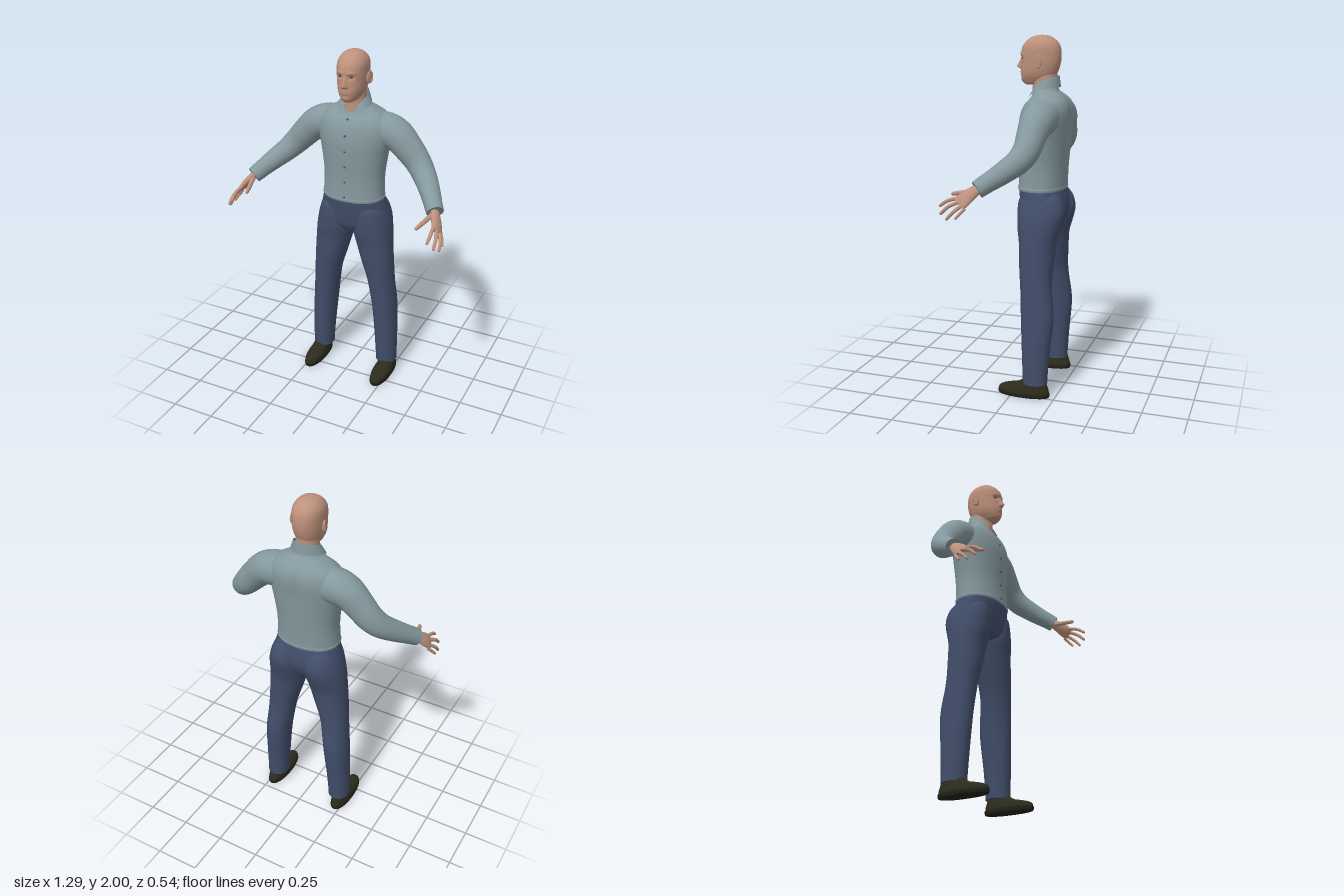
import * as THREE from 'three';

const V = (x, y, z) => new THREE.Vector3(x, y, z);
const mat = (name, color, side = THREE.FrontSide) => {
  const m = new THREE.MeshStandardMaterial({ color, side });
  m.name = name;
  return m;
};
const bump = (d, s) => Math.exp(-(d * d) / (s * s));

// smooth in-between sections, Catmull-Rom on every number
function refine(secs, steps) {
  const out = [], at = i => secs[Math.max(0, Math.min(secs.length - 1, i))];
  for (let i = 0; i < secs.length - 1; i++)
    for (let k = 0; k < steps; k++) {
      const t = k / steps;
      out.push(at(i).map((b, n) => {
        const a = at(i - 1)[n], c = at(i + 1)[n], d = at(i + 2)[n];
        return b + 0.5 * t * (c - a + t * (2 * a - 5 * b + 4 * c - d + t * (3 * (b - c) + d - a)));
      }));
    }
  out.push(secs[secs.length - 1]);
  return out;
}

// skin over rings of points; closed rings also get end caps
function surface(rings, closed = true) {
  const pos = [], idx = [], n = rings[0].length, m = rings.length;
  rings.forEach(r => r.forEach(p => pos.push(p.x, p.y, p.z)));
  for (let i = 0; i < m - 1; i++)
    for (let j = 0; j < (closed ? n : n - 1); j++) {
      const k = (j + 1) % n, a = i * n + j, b = i * n + k;
      idx.push(a, b, b + n, a, b + n, a + n);
    }
  if (closed) [0, m - 1].forEach(e => {
    const base = pos.length / 3, c = V(0, 0, 0);
    rings[e].forEach(p => { pos.push(p.x, p.y, p.z); c.addScaledVector(p, 1 / n); });
    pos.push(c.x, c.y, c.z);
    for (let j = 0; j < n; j++) {
      const a = base + j, b = base + (j + 1) % n;
      if (e) idx.push(a, b, base + n); else idx.push(b, a, base + n);
    }
  });
  const g = new THREE.BufferGeometry();
  g.setAttribute('position', new THREE.Float32BufferAttribute(pos, 3));
  g.setIndex(idx);
  g.computeVertexNormals();
  return g;
}

// level sections, bottom up: [y, centre x, half width, front z, back z]
function loft(secs, { power = 2, steps = 4, seg = 40, shape } = {}) {
  const pw = v => Math.sign(v) * Math.abs(v) ** (2 / power);
  return surface(refine(secs, steps).map(([y, cx, hw, zf, zb]) =>
    Array.from({ length: seg }, (_, j) => {
      const a = j / seg * Math.PI * 2;
      const p = V(cx + hw * pw(Math.sin(a)), y, (zf + zb) / 2 + (zf - zb) / 2 * pw(Math.cos(a)));
      if (shape) shape(p);
      return p;
    })));
}

// sections across a path: [x, y, z, width radius, thickness radius]
function limb(secs, ref, { steps = 4, seg = 24 } = {}) {
  const s = refine(secs, steps), c = s.map(q => V(q[0], q[1], q[2]));
  return surface(s.map((q, i) => {
    const t = c[Math.min(i + 1, c.length - 1)].clone().sub(c[Math.max(i - 1, 0)]).normalize();
    const u = ref.clone().addScaledVector(t, -ref.dot(t)).normalize(), v = t.clone().cross(u);
    return Array.from({ length: seg }, (_, j) => {
      const a = j / seg * Math.PI * 2;
      return c[i].clone().addScaledVector(v, q[3] * Math.sin(a)).addScaledVector(u, q[4] * Math.cos(a));
    });
  }));
}

export function createModel() {
  const root = new THREE.Group();
  root.name = 'standingMan';
  const skin = mat('skin', 0xbd917c), shirt = mat('shirt', 0x84989d, THREE.DoubleSide);
  const denim = mat('trousers', 0x414d69), leather = mat('shoeLeather', 0x2c2c1d);
  const sole = mat('shoeSole', 0x212117), dark = mat('button', 0x4a5559), iris = mat('eye', 0x4a362c);
  const add = (name, geo, m) => {
    const o = new THREE.Mesh(geo, m);
    o.name = name;
    root.add(o);
    return o;
  };

  // head with sculpted face
  add('head', loft([
    [1.733, 0, .022, -.012, -.10], [1.74, 0, .04, .002, -.13], [1.755, 0, .051, .012, -.155],
    [1.78, 0, .065, .017, -.175], [1.81, 0, .074, .018, -.19], [1.85, 0, .079, .016, -.202],
    [1.89, 0, .081, .018, -.206], [1.93, 0, .081, .012, -.202], [1.96, 0, .073, -.006, -.188],
    [1.985, 0, .053, -.035, -.16], [1.996, 0, .03, -.065, -.135], [2, 0, .004, -.095, -.105],
  ], {
    power: 2.2, steps: 8, seg: 96, shape: p => {
      if (p.z < -.06) return;
      const { x, y } = p, ax = Math.abs(x);
      const ridge = y > 1.83 ? Math.max(0, 1 - (y - 1.83) / .055) : bump(y - 1.83, .009);
      p.z += .03 * bump(x, .011) * ridge + .008 * bump(ax - .013, .007) * bump(y - 1.826, .008)
        - .011 * bump(ax - .032, .016) * bump(y - 1.876, .012) + .005 * bump(ax - .03, .025) * bump(y - 1.898, .009)
        + .008 * bump(x, .022) * bump(y - 1.797, .012) - .007 * bump(x, .022) * bump(y - 1.797, .003)
        + .004 * bump(x, .02) * bump(y - 1.757, .012);
    },
  }), skin);
  add('neck', loft([[1.6, 0, .068, -.045, -.19], [1.7, 0, .063, -.047, -.186],
    [1.76, 0, .061, -.05, -.184], [1.83, 0, .06, -.05, -.185]]), skin);

  // shirt body, with a spine furrow and lowered front neckline
  add('shirtBody', loft([
    [1.162, 0, .181, .021, -.241], [1.175, 0, .183, .023, -.243], [1.19, 0, .179, .02, -.241],
    [1.3, 0, .177, .015, -.246], [1.42, 0, .192, .018, -.257], [1.5, 0, .207, .018, -.264],
    [1.56, 0, .213, .01, -.27], [1.61, 0, .205, -.005, -.267], [1.65, 0, .175, -.028, -.252],
    [1.68, 0, .125, -.043, -.225], [1.7, 0, .085, -.05, -.2], [1.72, 0, .068, -.052, -.188],
  ], {
    power: 2.2, steps: 5, seg: 64, shape: p => {
      if (p.z < -.15) p.z += .012 * bump(p.x, .03) * bump(p.y - 1.52, .16);
      p.y -= Math.max(0, p.z + .1) * .4 * THREE.MathUtils.clamp((p.y - 1.64) / .05, 0, 1);
    },
  }), shirt);

  // folded collar, open at the front with two points
  const collar = [0, 1, 2].map(r => Array.from({ length: 41 }, (_, j) => {
    const k = j / 20 - 1, a = Math.abs(k), f = k * 2.64, t = r / 2;
    const low = 1.722 - .03 * a * a - .042 * a ** 6, high = 1.785 - .078 * a * a;
    const rx = .088 + .024 * a ** 3 + (.072 - .088 - .024 * a ** 3) * t;
    const rz = .082 + .022 * a ** 3 + (.074 - .082 - .022 * a ** 3) * t;
    return V(-Math.sin(f) * rx, low + (high - low) * t, -.122 - Math.cos(f) * rz);
  }));
  add('collar', surface(collar, false), shirt);

  // shirt buttons
  [[1.635, -.02], [1.55, .012], [1.46, .018], [1.37, .017], [1.28, .016], [1.19, .02]].forEach(([y, z]) => {
    const b = add('button', new THREE.CylinderGeometry(.006, .006, .008, 12), dark);
    b.rotation.x = Math.PI / 2;
    b.position.set(0, y, z);
  });

  // trouser seat
  add('trouserSeat', loft([
    [.95, 0, .03, -.07, -.17], [.965, 0, .1, -.03, -.215], [1, 0, .19, -.008, -.24],
    [1.05, 0, .209, .002, -.254], [1.1, 0, .197, .009, -.252], [1.165, 0, .178, .017, -.237],
    [1.2, 0, .165, .005, -.225],
  ], { power: 2.2, seg: 56 }), denim);

  // mirrored parts
  for (const s of [1, -1]) {
    const side = s > 0 ? 'left' : 'right';
    const flip = secs => secs.map(([x, ...r]) => [x * s, ...r]);

    const eye = add(side + 'Eye', new THREE.SphereGeometry(1, 16, 10), iris);
    eye.scale.set(.011, .0045, .005);
    eye.position.set(.032 * s, 1.876, .001);

    const ear = add(side + 'Ear', new THREE.SphereGeometry(1, 20, 14), skin);
    ear.scale.set(.009, .034, .02);
    ear.position.set(.086 * s, 1.858, -.104);
    ear.rotation.set(-.15, -.4 * s, -.12 * s);
    const rim = add(side + 'EarRim', new THREE.TorusGeometry(.02, .005, 8, 24), skin);
    rim.scale.set(.85, 1.4, 1);
    rim.position.set(.091 * s, 1.86, -.105);
    rim.rotation.set(0, Math.PI / 2 - .35 * s, 0);

    // sleeve and cuff
    add(side + 'Sleeve', limb(flip([
      [.06, 1.56, -.145, .09, .09], [.17, 1.565, -.147, .096, .097], [.245, 1.543, -.143, .091, .09],
      [.31, 1.485, -.137, .079, .082], [.37, 1.42, -.13, .071, .074], [.42, 1.368, -.1, .066, .066],
      [.475, 1.318, -.04, .058, .058], [.52, 1.275, .02, .051, .051], [.552, 1.243, .065, .046, .046],
    ]), V(0, 1, 0), { seg: 36, steps: 5 }), shirt);
    add(side + 'Cuff', limb(flip([[.53, 1.265, .035, .05, .05], [.556, 1.239, .07, .047, .047]]),
      V(0, 1, 0), { seg: 36 }), shirt);

    // hand
    const back = V(.85 * s, .52, 0);
    add(side + 'Palm', limb(flip([
      [.525, 1.27, .03, .028, .022], [.557, 1.238, .075, .029, .021], [.58, 1.207, .112, .038, .02],
      [.597, 1.18, .14, .041, .015], [.604, 1.168, .153, .036, .009],
    ]), back), skin);
    [
      ['Thumb', [.55, 1.232, .085], [.532, 1.217, .15], [.51, 1.2, .228], .014],
      ['IndexFinger', [.582, 1.197, .155], [.59, 1.182, .215], [.588, 1.148, .266], .0105],
      ['MiddleFinger', [.597, 1.182, .15], [.615, 1.155, .205], [.619, 1.113, .25], .0108],
      ['RingFinger', [.607, 1.164, .135], [.63, 1.13, .175], [.636, 1.09, .21], .0102],
      ['LittleFinger', [.609, 1.15, .117], [.628, 1.12, .142], [.638, 1.098, .16], .009],
    ].forEach(([name, a, b, c, r]) => {
      const tip = c.map((v, i) => v - (v - b[i]) * .1);
      add(side + name, limb(flip([[...a, r, r], [...b, r * .9, r * .9], [...tip, r * .72, r * .72],
        [...c, r * .15, r * .15]]), back, { seg: 14 }), skin);
    });

    // trouser leg: [y, inner x, outer x, front z, back z]
    add(side + 'TrouserLeg', loft([
      [.078, .154, .277, -.063, -.202], [.1, .154, .276, -.062, -.202], [.25, .143, .275, -.055, -.212],
      [.45, .125, .267, -.045, -.23], [.6, .102, .255, -.037, -.214], [.68, .084, .25, -.03, -.21],
      [.78, .052, .243, -.02, -.216], [.88, .022, .236, -.014, -.224], [.95, .004, .229, -.002, -.245],
      [1, 0, .222, .001, -.26], [1.05, .004, .211, .002, -.266], [1.11, .02, .19, -.005, -.25],
      [1.15, .04, .16, -.04, -.22],
    ].map(([y, a, b, f, k]) => [y, (a + b) / 2 * s, (b - a) / 2, f, k]), { power: 2.15 }), denim);

    // shoe
    const x = .224 * s;
    add(side + 'ShoeSole', loft([[0, x, .052, .08, -.216], [.008, x, .055, .084, -.219],
      [.022, x, .055, .084, -.219]], { power: 2.2, steps: 2 }), sole);
    add(side + 'Shoe', loft([
      [.02, x, .053, .082, -.216], [.038, x, .053, .077, -.214], [.05, x, .05, .058, -.21],
      [.06, x, .046, .02, -.207], [.072, x, .043, -.03, -.203], [.1, x, .04, -.075, -.195],
    ], { power: 2.2 }), leather);
  }
  return root;
}
